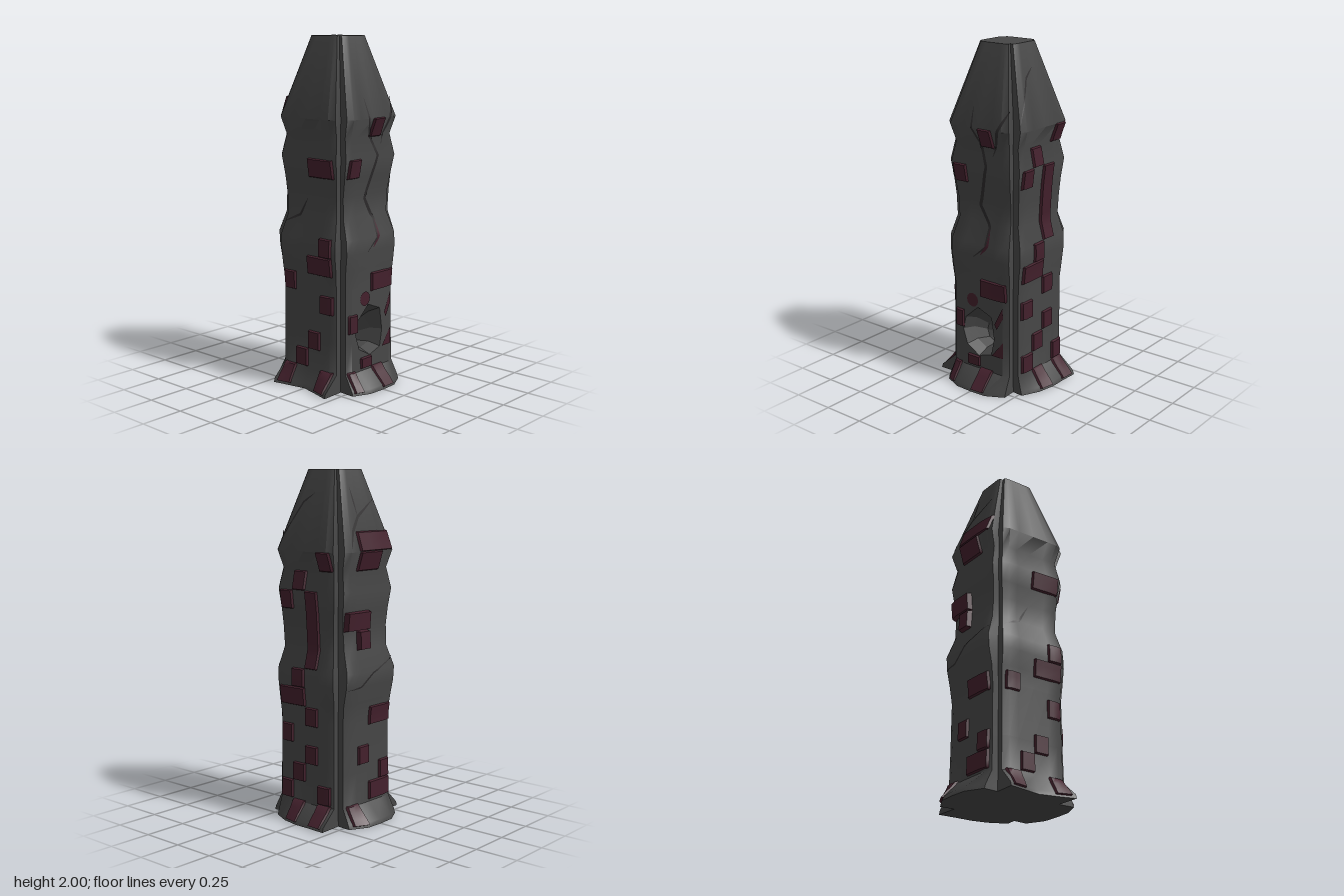
import * as THREE from 'three';
import { toCreasedNormals } from 'three/addons/utils/BufferGeometryUtils.js';

// Shared wavy profile: height, depth. Faces are 0 front, 1 +x, 2 back, 3 -x
const PROFILE = [[0, 0.345], [0.025, 0.335], [0.11, 0.254], [0.3, 0.251], [0.6, 0.249], [0.7, 0.258], [0.8, 0.269],
  [0.88, 0.268], [1, 0.232], [1.12, 0.236], [1.22, 0.246], [1.33, 0.262], [1.45, 0.237], [1.55, 0.268], [2, 0.121]];
const HEIGHTS = PROFILE.map(([y]) => y);
// Swelling or hollow of each face: amount, centre height
const SWELL = [[-0.015, 1.07], [0.006, 1.1], [0.02, 0.9], [0.004, 0.75]];
// Uneven outline of the flared foot, five points per face
const FOOT = [
  [0.30, 0.345, 0.35, 0.345, 0.29],
  [0.27, 0.32, 0.34, 0.34, 0.345],
  [0.29, 0.345, 0.35, 0.345, 0.29],
  [0.33, 0.31, 0.29, 0.315, 0.345],
];
const COLS = [-1, -0.8, -0.5, 0, 0.5, 0.8, 1];
const { lerp, clamp } = THREE.MathUtils;

// Interval of a sorted list holding v, and the fraction along it
function bracket(list, v) {
  let i = 0;
  while (i < list.length - 2 && v > list[i + 1]) i++;
  return [i, (v - list[i]) / (list[i + 1] - list[i])];
}
const rowWidth = (row) => Math.min(0.26, PROFILE[row][1]);
const halfSpan = (y) => {
  const [i, t] = bracket(HEIGHTS, y);
  return 0.8 * lerp(rowWidth(i), rowWidth(i + 1), t);
};
// Depth of a grid point, with bevelled edges and a slight hollow along the middle
function gridDepth(face, row, col) {
  const v = COLS[col];
  if (row < 2) {
    const i = Math.min(3, Math.floor((v + 1) * 2));
    return lerp(FOOT[face][i], FOOT[face][i + 1], (v + 1) * 2 - i) - row * 0.008;
  }
  const [y, depth] = PROFILE[row], [amount, centre] = SWELL[face];
  const hollow = row > 4 && row < 13 && face !== 2 ? 0.01 * (1 - v ** 2) : 0;
  const bevel = Math.abs(v) === 1 ? 0.06 * rowWidth(row) : 0;
  return depth + amount * Math.exp(-(((y - centre) / 0.15) ** 2)) - hollow - bevel;
}
function surfaceDepth(face, u, y) {
  const [r, t] = bracket(HEIGHTS, y);
  const [c, s] = bracket(COLS, clamp(u / halfSpan(y), -1, 1));
  const at = (row) => lerp(gridDepth(face, row, c), gridDepth(face, row, c + 1), s);
  return lerp(at(r), at(r + 1), t);
}
const place = (face, u, y, d) =>
  [[u, y, d], [d, y, -u], [-u, y, -d], [-d, y, u]][face];
const onSurface = (face, u, y, lift) => place(face, u, y, surfaceDepth(face, u, y) + lift);
// World x or z runs against the face's own direction on +x and the back
const faceSign = (face) => (face === 1 || face === 2 ? -1 : 1);

const quad = (out, a, b, c, d) => out.push(...a, ...b, ...c, ...a, ...c, ...d);
function meshFrom(out, material, name, crease = 0.7) {
  const g = new THREE.BufferGeometry();
  g.setAttribute('position', new THREE.Float32BufferAttribute(out, 3));
  const mesh = new THREE.Mesh(toCreasedNormals(g, crease), material);
  mesh.name = name;
  return mesh;
}

// Notched square section at one row: the columns of each face plus an inner corner
function section(row) {
  const y = PROFILE[row][0], corner = 0.78 * rowWidth(row), pts = [];
  for (let face = 0; face < 4; face++) {
    COLS.forEach((v, c) => pts.push(place(face, v * halfSpan(y), y, gridDepth(face, row, c))));
    pts.push(place(face, corner, y, corner));
  }
  return pts;
}

function shaft(material) {
  const out = [], rows = PROFILE.map((_, r) => section(r)), n = rows[0].length;
  for (let r = 0; r < rows.length - 1; r++)
    for (let i = 0; i < n; i++) {
      if ((r === 2 || r === 3) && i > 0 && i < 5) continue; // left open for the cratered panel
      const j = (i + 1) % n;
      quad(out, rows[r][i], rows[r][j], rows[r + 1][j], rows[r + 1][i]);
    }
  const top = rows[rows.length - 1], base = rows[0];
  for (let i = 0; i < n; i++) {
    const j = (i + 1) % n;
    out.push(0, 2, 0, ...top[i], ...top[j]);
    out.push(0, 0, 0, ...base[j], ...base[i]);
  }
  return meshFrom(out, material, 'shaft');
}

// Flat outline laid on the front face
function frontPatch(points, lift, material, name, hole) {
  const toVectors = (list) => list.map((p) => new THREE.Vector2(...p));
  const shape = new THREE.Shape(toVectors(points));
  if (hole) shape.holes.push(new THREE.Path(toVectors(hole)));
  const g = new THREE.ShapeGeometry(shape), p = g.attributes.position;
  for (let i = 0; i < p.count; i++) p.setZ(i, surfaceDepth(0, p.getX(i), p.getY(i)) + lift);
  g.computeVertexNormals();
  const mesh = new THREE.Mesh(g, material);
  mesh.name = name;
  return mesh;
}

const RIM = [[-0.13, 0.33], [-0.1, 0.24], [-0.01, 0.19], [0.08, 0.22], [0.1, 0.32], [0.08, 0.45], [-0.02, 0.49], [-0.11, 0.41]];
function crater(material) {
  const group = new THREE.Group();
  group.name = 'crater';
  const a = 0.8 * halfSpan(0.11), b = 0.8 * halfSpan(0.6);
  const panel = frontPatch([[-a, 0.11], [a, 0.11], [b, 0.6], [-b, 0.6]], 0, material, 'frontPanel', RIM);
  // Faceted hollow narrowing inward and sinking
  const ring = (s, drop, z) => RIM.map(([x, y]) =>
    [-0.01 + (x + 0.01) * s, 0.33 - drop + (y - 0.33) * s, z ?? surfaceDepth(0, x, y)]);
  const rings = [ring(1, 0), ring(0.78, 0.005, 0.18), ring(0.5, 0.04, 0.1), ring(0.01, 0.06, 0.07)], out = [];
  for (let k = 0; k < 3; k++)
    RIM.forEach((_, i) => {
      const j = (i + 1) % RIM.length;
      quad(out, rings[k][i], rings[k][j], rings[k + 1][j], rings[k + 1][i]);
    });
  group.add(panel, meshFrom(out, material, 'hollow', 0.1));
  return group;
}

// Raised bevelled tile on a regular grid of cells, following the face
function tile(face, [col, row, wide = 1, tall = 1, lift = 0.014], material) {
  const edges = [col, col + wide].map((c) => (c - 2) * 0.093 * faceSign(face));
  const y0 = 0.012 + row * 0.11, y1 = y0 + tall * 0.11;
  const steps = (lo, hi, n) => {
    const list = [lo];
    for (let i = 0; i <= n; i++) list.push(lerp(lo + 0.006, hi - 0.006, i / n));
    return [...list, hi];
  };
  const us = steps(Math.min(...edges), Math.max(...edges), 3), ys = steps(y0, y1, 3 * Math.ceil(tall)), out = [];
  const at = (i, j) => {
    const border = i === 0 || j === 0 || i === us.length - 1 || j === ys.length - 1;
    return onSurface(face, us[i], ys[j], border ? -0.002 : lift);
  };
  for (let i = 0; i < us.length - 1; i++)
    for (let j = 0; j < ys.length - 1; j++)
      quad(out, at(i, j), at(i + 1, j), at(i + 1, j + 1), at(i, j + 1));
  return meshFrom(out, material, 'tile');
}

// Thin tapered crack following the face
function crack(face, points, width, material) {
  const line = [], out = [];
  for (let i = 0; i < points.length - 1; i++)
    for (let k = 0; k < 5; k++) line.push(points[i].map((v, axis) => lerp(v, points[i + 1][axis], k / 5)));
  line.push(points[points.length - 1]);
  const sides = line.map(([u, y], i) => {
    const p = line[Math.max(0, i - 1)], q = line[Math.min(line.length - 1, i + 1)];
    const len = Math.hypot(q[0] - p[0], q[1] - p[1]);
    const w = (width * (0.2 + Math.sin((Math.PI * i) / (line.length - 1)))) / len / 2;
    const nx = -(q[1] - p[1]) * w, ny = (q[0] - p[0]) * w;
    return [-1, 1].map((s) => onSurface(face, (u + s * nx) * faceSign(face), y + s * ny, 0.004));
  });
  for (let i = 0; i < sides.length - 1; i++)
    quad(out, sides[i][0], sides[i][1], sides[i + 1][1], sides[i + 1][0]);
  return meshFrom(out, material, 'crack');
}

// Tiles per face: column, row, then cells wide, cells tall and thickness where unusual
const TILES = [
  [[2, 13], [0, 11], [2, 5, 2], [0, 3, 0.7], [1, 1, 1, 0.6], [-0.1, 0, 0.6], [2, 0]],
  [[2, 12], [3, 11], [0, 13], [1, 8, 1, 4], [2, 7], [2, 6, 2], [1, 5], [3, 4], [1, 3], [2, 2], [3, 1], [0, 1], [2, 0], [0, 0]],
  [[0, 14, 3], [1, 13, 2], [2, 10, 2, 1, 0.03], [2, 9, 1, 1, 0.03], [0, 5, 2], [2, 3], [0, 1, 2], [0, 2], [3, 0]],
  [[2, 11, 2], [2, 6, 2], [3, 7], [3, 4], [0, 5], [2, 2], [1, 1], [0, 0], [3, 0]],
];
// Cracks: face, width, path
const CRACKS = [
  [0, 0.018, [[-0.05, 1.66], [-0.04, 1.55], [0.05, 1.34], [-0.02, 1.1], [0.05, 0.98], [0.045, 0.87], [-0.04, 0.8]]],
  [0, 0.016, [[0.19, 1.66], [0.14, 1.55], [0.09, 1.4]]],
  [1, 0.01, [[0, 1.87], [0.07, 1.82], [0.19, 1.6]]],
  [2, 0.016, [[0.16, 1.57], [0.12, 1.66], [0.05, 1.74], [-0.11, 1.83]]],
  [2, 0.01, [[0.05, 1.74], [0.06, 1.9]]],
  [2, 0.01, [[0.2, 0.79], [0.1, 0.8], [0, 0.87], [-0.2, 0.94]]],
  [3, 0.012, [[-0.19, 0.95], [-0.08, 1], [-0.02, 1.1]]],
];

export function createModel() {
  const make = (name, color, side = THREE.FrontSide) =>
    Object.assign(new THREE.MeshStandardMaterial({ color, side }), { name });
  const stone = make('darkStone', 0x474747);
  const maroon = make('maroonTile', 0x43202c, THREE.DoubleSide);
  const gap = make('crackShadow', 0x2c2a2b, THREE.DoubleSide);

  const model = new THREE.Group();
  model.name = 'pillar';
  model.add(shaft(stone), crater(stone));

  const tiles = new THREE.Group();
  tiles.name = 'tiles';
  TILES.forEach((list, face) => list.forEach((cell) => tiles.add(tile(face, cell, maroon))));
  const circle = new THREE.EllipseCurve(-0.055, 0.53, 0.042, 0.042).getPoints(12).map((p) => p.toArray());
  tiles.add(
    frontPatch(circle, 0.006, maroon, 'roundSpot'),
    frontPatch([[0.09, 0.22], [0.17, 0.22], [0.17, 0.32]], 0.009, maroon, 'brokenTile'),
    frontPatch([[0.11, 0.42], [0.125, 0.39], [0.17, 0.47], [0.165, 0.53]], 0.009, maroon, 'tileShard'),
    crack(0, [[0.055, 0.97], [0.058, 0.88], [0.01, 0.82]], 0.016, maroon),
  );

  const cracks = new THREE.Group();
  cracks.name = 'cracks';
  CRACKS.forEach(([face, width, path]) => cracks.add(crack(face, path, width, gap)));
  model.add(tiles, cracks);
  return model;
}
